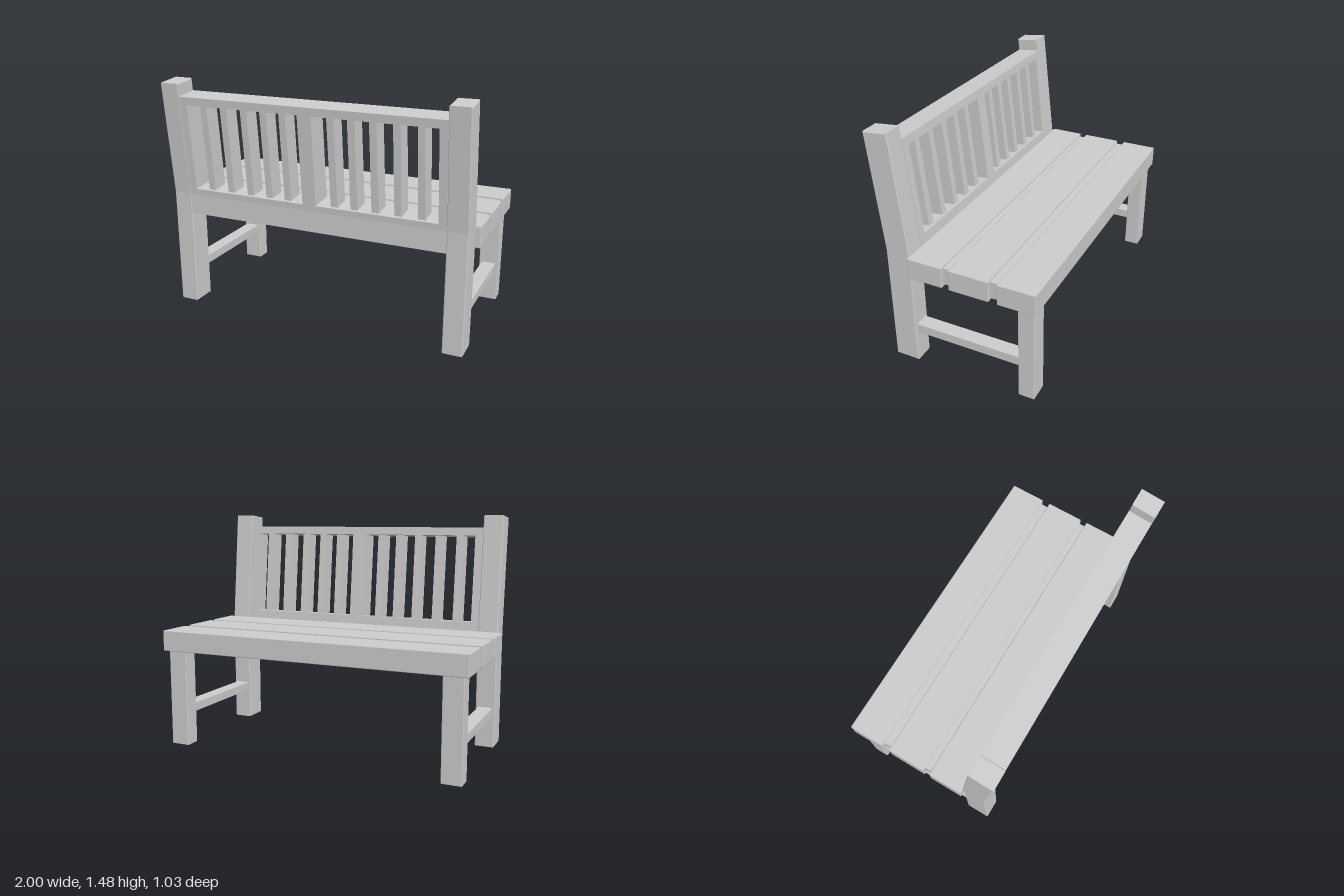
import * as THREE from 'three';
import { RoundedBoxGeometry } from 'three/addons/geometries/RoundedBoxGeometry.js';

const material = new THREE.MeshStandardMaterial({ color: 0xcccccc });
const KNEE = 0.75; // height where the back starts to lean
const FRONT = 0.285, BACK = 0.44; // back frame faces below the knee
const LEAN = 0.075 / 0.73;

export function createModel() {
  const bench = new THREE.Group();
  bench.name = 'bench';

  function add(name, geometry) {
    const mesh = new THREE.Mesh(geometry, material);
    mesh.name = name;
    bench.add(mesh);
  }

  // Softly bevelled timber given by its limits on each axis
  function timber(name, [x0, x1], [y0, y1], [z0, z1], bevel = 0.006) {
    const g = new RoundedBoxGeometry(x1 - x0, y1 - y0, z1 - z0, 1, bevel);
    g.translate((x0 + x1) / 2, (y0 + y1) / 2, (z0 + z1) / 2);
    add(name, g);
  }

  // Timber following the leaning back: side profile extruded along x
  function leaning(name, [x0, x1], [y0, y1], inset = 0, bevel = 0) {
    const at = (z, y) => [z + Math.max(0, y - KNEE) * LEAN, y];
    const f = FRONT + inset, b = BACK - inset;
    const drop = (y) => (y > KNEE ? y - (b - f) * LEAN : y); // square to the lean
    const pts = [at(b, drop(y0)), at(f, y0)];
    if (y0 < KNEE && y1 > KNEE) pts.push([f, KNEE]);
    pts.push(at(f, y1), at(b, drop(y1)));
    if (y0 < KNEE && y1 > KNEE) pts.push([b, KNEE]);
    const shape = new THREE.Shape(pts.map(([z, y]) => new THREE.Vector2(z, y)));
    const depth = x1 - x0 - 2 * bevel;
    const g = new THREE.ExtrudeGeometry(shape, {
      depth, bevelEnabled: bevel > 0, bevelThickness: bevel,
      bevelSize: bevel, bevelOffset: -bevel, bevelSegments: 1,
    });
    g.translate(0, 0, -depth / 2);
    g.rotateY(-Math.PI / 2);
    g.translate((x0 + x1) / 2, 0, 0);
    add(name, g);
  }

  // Legs, back posts and side stretchers
  for (const s of [-1, 1]) {
    const span = (a, b) => (s > 0 ? [a, b] : [-b, -a]);
    leaning('backPost', span(0.845, 0.97), [0, 1.48], 0, 0.005);
    timber('frontLeg', span(0.845, 0.97), [0, 0.63], [-0.49, -0.39]);
    timber('sideStretcher', span(0.862, 0.952), [0.2, 0.26], [-0.4, 0.295], 0.004);
    leaning('backStile', span(0.797, 0.846), [0.79, 1.36]);

    // Upright slats on this half of the back
    for (const x of [0.153, 0.28, 0.412, 0.552, 0.692])
      leaning('backSlat', [s * x - 0.022, s * x + 0.022], [0.78, 1.36], 0.022);
  }

  // Back rails and middle post
  leaning('lowerBackRail', [-0.846, 0.846], [0.62, 0.805]);
  leaning('upperBackRail', [-0.846, 0.846], [1.352, 1.402]);
  leaning('middleStile', [-0.044, 0.044], [0.79, 1.36]);

  // Seat planks with recessed strips between them
  for (const z of [[0.062, 0.285], [-0.23, 0.02], [-0.512, -0.28]])
    timber('seatPlank', [-1, 1], [0.618, 0.75], z);
  for (const z of [[0.01, 0.072], [-0.29, -0.22]])
    timber('seatStrip', [-0.975, 0.975], [0.63, 0.738], z, 0.004);

  return bench;
}
